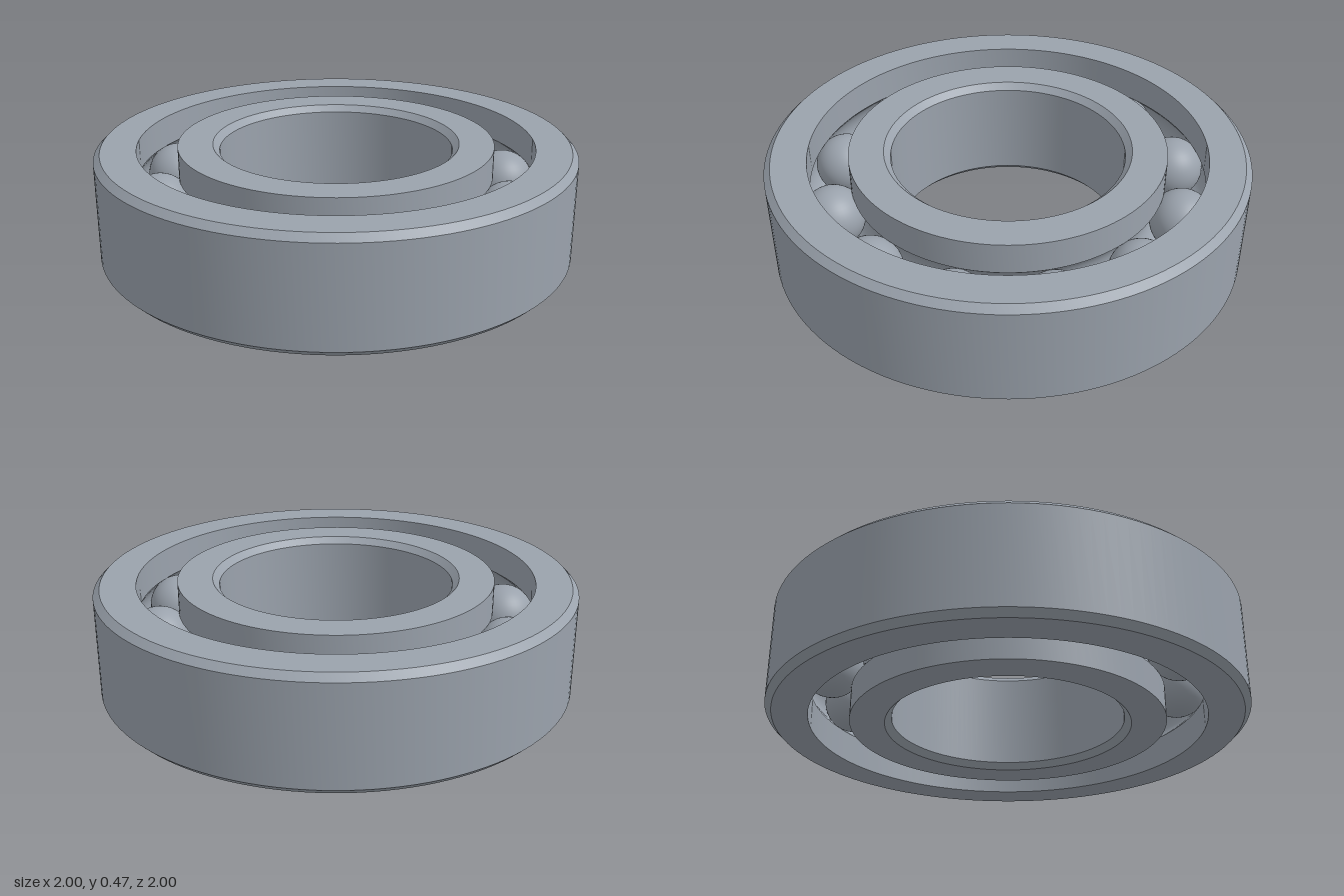
import * as THREE from 'three';
import { toCreasedNormals } from 'three/addons/utils/BufferGeometryUtils.js';

const HEIGHT = 0.468, MID = HEIGHT / 2, CHAMFER = 0.027;
const OUTER = 1, OUTER_INSIDE = 0.826, INNER_OUTSIDE = 0.659, BORE = 0.487;
const PITCH = 0.7425, BALL = 0.132, BALL_COUNT = 12;

// Points of the round raceway groove cut into a wall at the given radius
function groove(wall, startY) {
  const dx = wall - PITCH;
  const half = Math.acos(Math.abs(dx) / BALL);
  return Array.from({ length: 17 }, (_, i) => {
    const a = startY * half * (1 - i / 8);
    return [PITCH + Math.sign(dx) * BALL * Math.cos(a), MID + BALL * Math.sin(a)];
  });
}

// Closed profile, running up the outside and down the inside, spun into a ring
function ring(name, profile, material) {
  const points = [...profile, profile[0]].map(([r, y]) => new THREE.Vector2(r, y));
  const mesh = new THREE.Mesh(toCreasedNormals(new THREE.LatheGeometry(points, 128), 0.5), material);
  mesh.name = name;
  return mesh;
}

export function createModel() {
  const model = new THREE.Group();
  model.name = 'ballBearing';
  const steel = new THREE.MeshStandardMaterial({ color: 0x9aa2ac });
  steel.name = 'steel';

  // Outer ring: chamfered outside, grooved inside
  model.add(ring('outerRing', [
    [OUTER - CHAMFER, 0], [OUTER, CHAMFER],
    [OUTER, HEIGHT - CHAMFER], [OUTER - CHAMFER, HEIGHT],
    [OUTER_INSIDE, HEIGHT], ...groove(OUTER_INSIDE, 1), [OUTER_INSIDE, 0],
  ], steel));

  // Inner ring: grooved outside, chamfered bore
  model.add(ring('innerRing', [
    [INNER_OUTSIDE, 0], ...groove(INNER_OUTSIDE, -1), [INNER_OUTSIDE, HEIGHT],
    [BORE + CHAMFER, HEIGHT], [BORE, HEIGHT - CHAMFER],
    [BORE, CHAMFER], [BORE + CHAMFER, 0],
  ], steel));

  // Balls spaced evenly around the raceway
  const balls = new THREE.Group();
  balls.name = 'balls';
  const ballGeometry = new THREE.SphereGeometry(BALL, 40, 24);
  for (let i = 0; i < BALL_COUNT; i++) {
    const a = 0.202 + (i / BALL_COUNT) * Math.PI * 2;
    const ball = new THREE.Mesh(ballGeometry, steel);
    ball.name = 'ball';
    ball.position.set(PITCH * Math.cos(a), MID, PITCH * Math.sin(a));
    balls.add(ball);
  }
  model.add(balls);
  return model;
}
